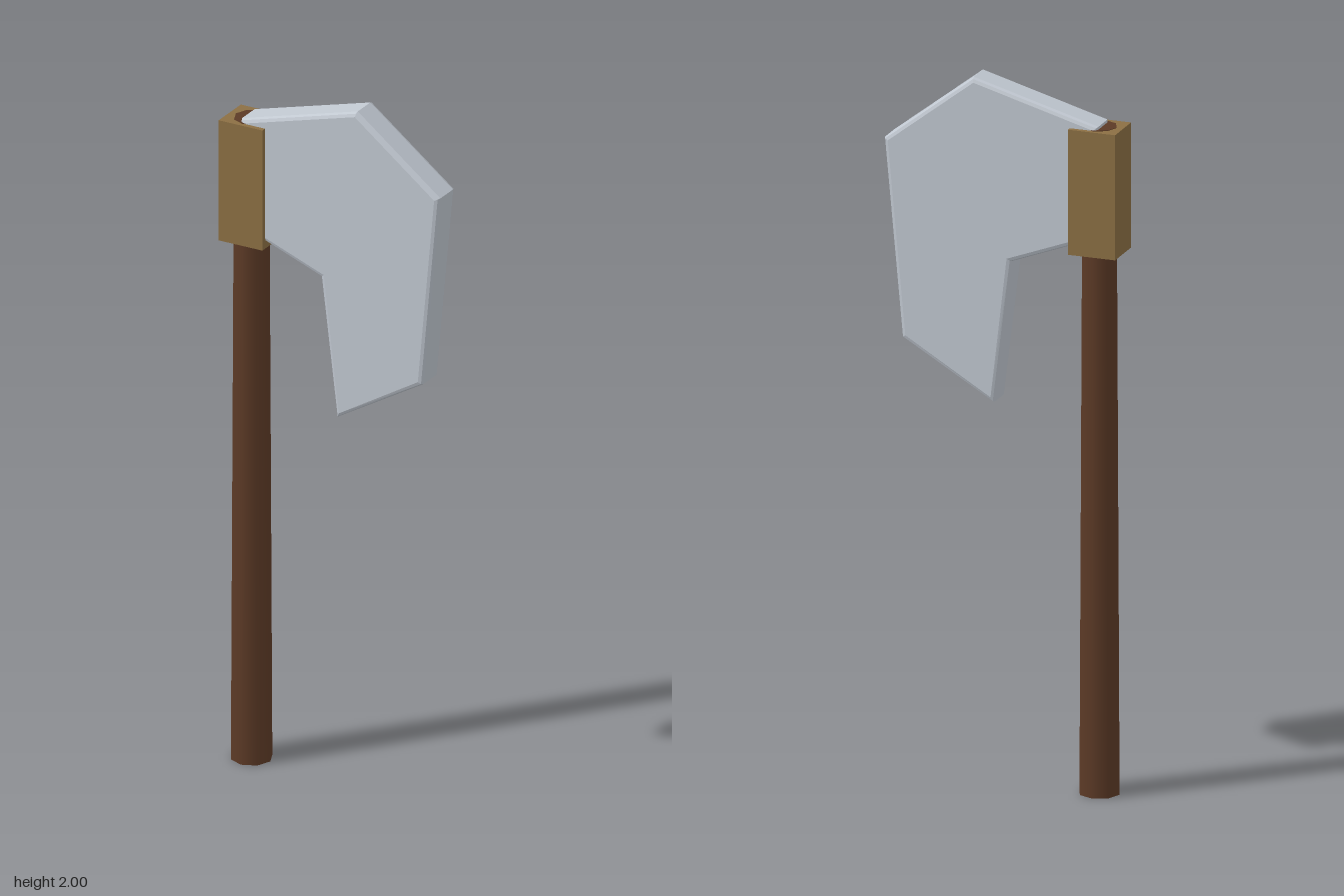
import * as THREE from 'three';

export function createModel() {
  const model = new THREE.Group();
  const add = (name, geometry, color, x, y, z) => {
    const mesh = new THREE.Mesh(geometry, new THREE.MeshStandardMaterial({ color }));
    mesh.name = name;
    mesh.position.set(x, y, z);
    model.add(mesh);
  };

  // Tapered eight-sided shaft, ending just above the collar
  const shaftTop = 1.892;
  add('handle', new THREE.CylinderGeometry(0.049, 0.058, shaftTop, 8), 0x5c3a26, -0.27, shaftTop / 2, 0);

  // Block that binds the blade to the shaft
  add('collar', new THREE.BoxGeometry(0.136, 0.355, 0.12), 0x8b6f43, -0.27, 1.713, 0);

  // Bearded blade with a softly bevelled rim
  const outline = [
    [-0.28, 1.9], [-0.28, 1.585], [-0.03, 1.49], [0.02, 1.085],
    [0.285, 1.24], [0.337, 1.8], [0.08, 2],
  ].map(([x, y]) => new THREE.Vector2(x, y));
  const bevel = 0.012;
  const core = 0.068;
  const blade = new THREE.ExtrudeGeometry(new THREE.Shape(outline), {
    depth: core, bevelThickness: bevel, bevelSize: bevel, bevelOffset: -bevel, bevelSegments: 2,
  });
  add('blade', blade, 0xc0c7d0, 0, 0, -core / 2);

  return model;
}
